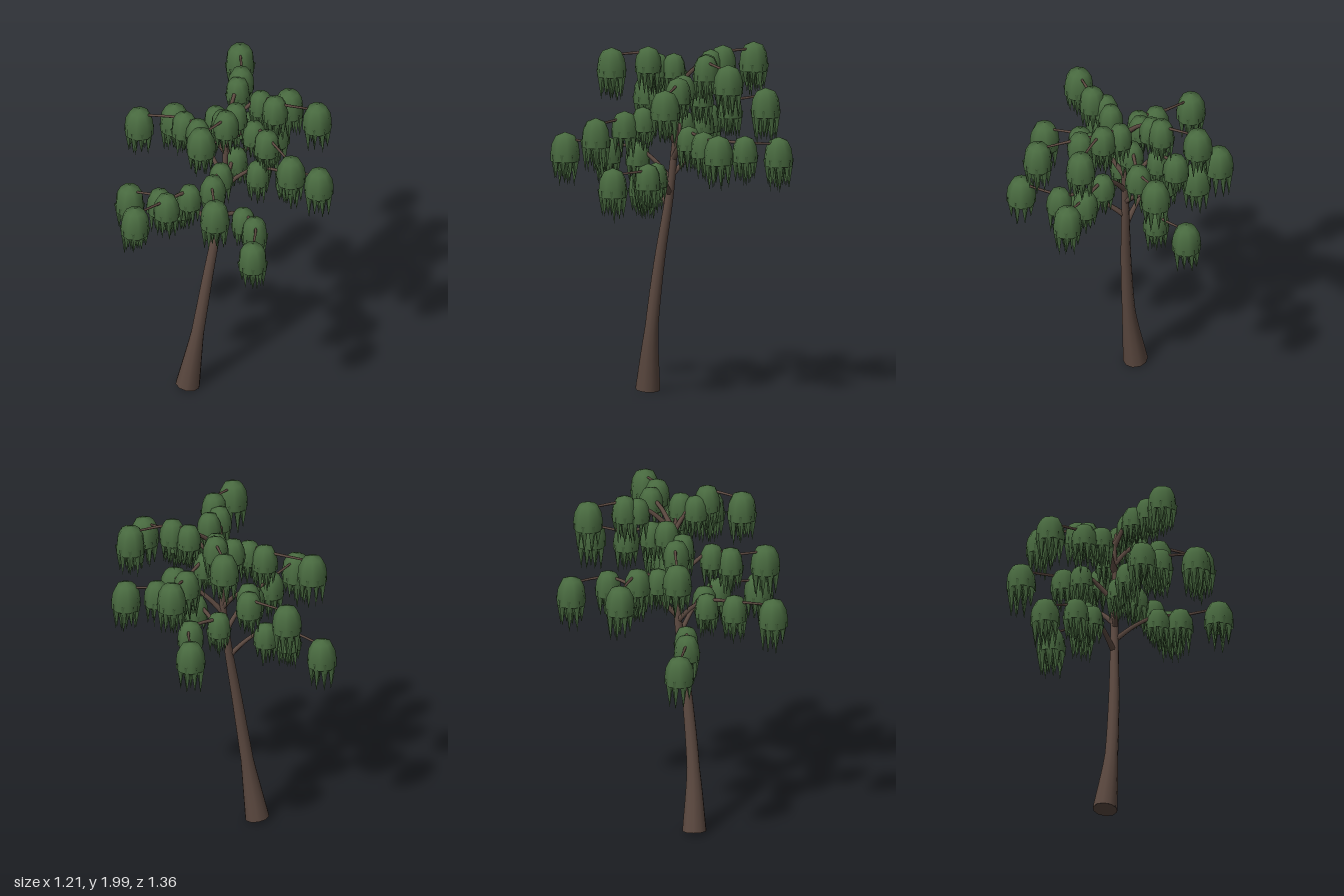
import * as THREE from 'three';
import { mergeGeometries } from 'three/addons/utils/BufferGeometryUtils.js';

const V = (x, y, z) => new THREE.Vector3(x, y, z);

// small seeded random number source
let seed = 7;
const rand = () => {
  seed = (seed * 16807) % 2147483647;
  return seed / 2147483647;
};

// tube along a curve whose radius follows radiusAt(t)
function taperedTube(curve, radiusAt, segments, sides) {
  const geo = new THREE.TubeGeometry(curve, segments, 1, sides, false);
  const pos = geo.attributes.position;
  const p = new THREE.Vector3();
  for (let i = 0; i < pos.count; i++) {
    const t = Math.floor(i / (sides + 1)) / segments;
    const c = curve.getPointAt(t);
    p.fromBufferAttribute(pos, i).sub(c).multiplyScalar(radiusAt(t)).add(c);
    pos.setXYZ(i, p.x, p.y, p.z);
  }
  return geo;
}

// drooping clump with its top at the origin: a dome fringed with hanging points
function clumpGeometry(r) {
  const profile = [[1, -2], [1.01, -1.45], [0.93, -0.8], [0.65, -0.25], [0, 0]]
    .map(([x, y]) => new THREE.Vector2(x * r, y * r));
  const parts = [new THREE.LatheGeometry(profile, 8)];
  const fringe = (count, ring, width, minLength, spread) => {
    for (let i = 0; i < count; i++) {
      const a = ((i + 0.5) / count) * Math.PI * 2;
      const len = r * (minLength + spread * rand());
      const cone = new THREE.ConeGeometry(width * r, len, 4, 1, true);
      cone.rotateX(Math.PI);
      cone.rotateY(a);
      cone.translate(Math.sin(a) * ring * r, -1.5 * r - len / 2, Math.cos(a) * ring * r);
      parts.push(cone);
    }
  };
  fringe(8, 0.72, 0.33, 1.5, 0.9);
  fringe(4, 0.32, 0.3, 1.8, 0.6);
  return mergeGeometries(parts);
}

// each branch lists its clumps from the trunk outwards: x, top height, z
const BRANCHES = [
  [[-0.10, 1.46, -0.24], [-0.03, 1.47, -0.43], [-0.14, 1.45, -0.61]],
  [[0.02, 1.78, -0.19], [0.045, 1.73, -0.35], [0.02, 1.75, -0.55]],
  [[-0.08, 1.95, -0.235], [-0.115, 1.97, -0.30], [-0.27, 1.97, -0.46]],
  [[-0.19, 1.59, -0.07], [-0.255, 1.60, -0.17], [-0.51, 1.59, -0.18]],
  [[0.105, 1.95, -0.225], [0.21, 1.96, -0.23], [0.40, 1.93, -0.37]],
  [[0.17, 1.55, -0.13], [0.315, 1.54, -0.225], [0.46, 1.54, -0.32]],
  [[0.17, 1.84, -0.10], [0.285, 1.84, -0.08], [0.52, 1.80, -0.025]],
  [[-0.12, 1.79, 0.05], [-0.225, 1.79, 0.05], [-0.475, 1.75, 0.15]],
  [[-0.20, 1.27, 0.10], [-0.32, 1.27, 0.15], [-0.52, 1.22, 0.18]],
  [[-0.07, 1.43, 0.175], [-0.085, 1.45, 0.345], [-0.105, 1.47, 0.585]],
  [[0.225, 1.35, 0.05], [0.345, 1.36, 0.085], [0.50, 1.355, 0.27]],
  [[0.13, 1.65, 0.13], [0.16, 1.63, 0.23], [0.315, 1.61, 0.38]],
  [[0.075, 1.95, 0.055], [0.14, 1.995, 0.10], [0.14, 1.985, 0.305]],
  [[0.085, 1.95, -0.04]],
  [[-0.085, 1.84, -0.06]],
];

export function createModel() {
  const tree = new THREE.Group();
  tree.name = 'weepingTree';
  const bark = new THREE.MeshStandardMaterial({ color: 0x5d4a41 });
  bark.name = 'bark';
  const leaf = new THREE.MeshStandardMaterial({ color: 0x48693f, side: THREE.DoubleSide });
  leaf.name = 'leaf';
  const add = (geo, mat, name, parent = tree) => {
    const mesh = new THREE.Mesh(geo, mat);
    mesh.name = name;
    parent.add(mesh);
    return mesh;
  };

  // leaning trunk, flared at the foot
  const spine = new THREE.CatmullRomCurve3([
    V(-0.13, 0.018, 0.123), V(-0.083, 0.35, 0.1), V(-0.045, 0.75, 0.052),
    V(-0.015, 1.15, -0.01), V(0, 1.45, -0.04), V(0.002, 1.77, -0.05),
  ]);
  const trunkRadius = (t) => 0.044 - 0.032 * t + 0.026 * Math.max(0, 1 - t / 0.2);
  add(taperedTube(spine, trunkRadius, 24, 10), bark, 'trunk');

  // caps closing both trunk ends
  for (const t of [0, 1]) {
    const cap = add(new THREE.CircleGeometry(trunkRadius(t), 10), bark, t ? 'trunkTip' : 'trunkFoot');
    cap.position.copy(spine.getPointAt(t));
    const dir = spine.getTangentAt(t).multiplyScalar(t ? 1 : -1);
    cap.quaternion.setFromUnitVectors(V(0, 0, 1), dir);
  }

  // trunk centre at a given height
  const trunkAt = (y) => {
    let lo = 0, hi = 1;
    for (let i = 0; i < 20; i++) {
      const mid = (lo + hi) / 2;
      if (spine.getPointAt(mid).y < y) lo = mid; else hi = mid;
    }
    return spine.getPointAt(lo);
  };

  // branches rise out of the trunk, then run level under their clumps
  BRANCHES.forEach((clumps) => {
    const limb = new THREE.Group();
    limb.name = 'limb';
    tree.add(limb);
    const start = trunkAt(clumps[0][1] - 0.21);
    const nodes = clumps.map(([x, y, z]) => V(x, y - 0.04, z));
    const bend = start.clone().lerp(nodes[0], 0.5);
    bend.y += 0.02;
    const curve = new THREE.CatmullRomCurve3([start, bend, ...nodes]);
    add(taperedTube(curve, (t) => 0.019 - 0.013 * Math.sqrt(t), 16, 6), bark, 'branch', limb);

    clumps.forEach(([x, y, z], i) => {
      const clump = add(clumpGeometry([0.068, 0.073, 0.082][i]), leaf, 'leafClump', limb);
      clump.position.set(x, y, z);
      clump.rotation.y = rand() * Math.PI;
    });
  });
  return tree;
}
